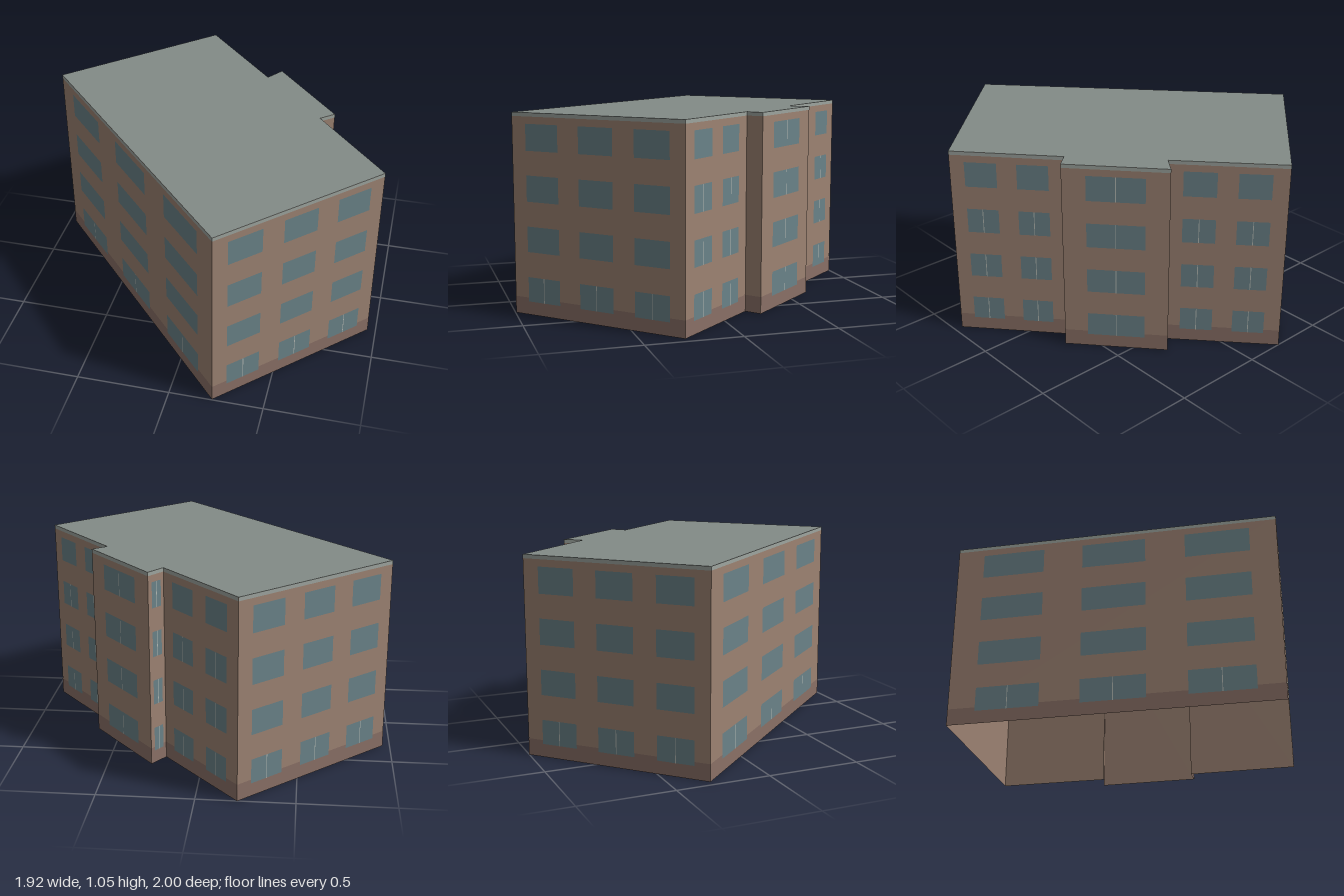
import * as THREE from 'three';

const HEIGHT = 1.055;
const TRIM = 0.02;
const BASE = 0.09;
const ROWS = [[0.07, 0.2], [0.333, 0.467], [0.597, 0.733], [0.86, 0.998]];

const paint = (color, side = THREE.FrontSide) => {
  const m = new THREE.MeshStandardMaterial({ color });
  m.side = side;
  return m;
};

export function createModel() {
  const model = new THREE.Group();
  model.name = 'apartmentBlock';

  const wallMat = paint(0x9c8272, THREE.DoubleSide);
  const roofMat = paint(0x838b87, THREE.DoubleSide);
  const baseMat = paint(0x8a7066);
  const trimMat = paint(0x9da49e);
  const glassMat = paint(0x6a8288);
  const mullionMat = paint(0xb4bab4);

  // Window columns as fractions of a wall's length
  const three = [[0.085, 0.28], [0.403, 0.6], [0.722, 0.918]];
  const two = [[0.13, 0.41], [0.585, 0.86]];

  // Walls by starting corner [x, z], with window columns and floors that show a mullion
  const walls = [
    { name: 'frontWall', at: [-0.96, -0.305], cols: three, split: [0] },
    { name: 'leftEndWall', at: [0.23, 0.995], cols: three, split: [0] },
    { name: 'backWallLeft', at: [0.955, 0.285], cols: two, split: [0, 1, 2] },
    { name: 'baySideLeft', at: [0.56, -0.165], cols: [], split: [] },
    { name: 'bayWall', at: [0.632, -0.225], cols: [[0.225, 0.775]], split: [0, 1, 2, 3] },
    { name: 'baySideRight', at: [0.268, -0.638], cols: [[0.22, 0.8]], split: [0, 1, 2, 3] },
    { name: 'backWallRight', at: [0.202, -0.547], cols: two, split: [0, 1, 2] },
    { name: 'rightEndWall', at: [-0.21, -1], cols: three, split: [0] },
  ];

  walls.forEach((w, i) => {
    const [x0, z0] = w.at;
    const [x1, z1] = walls[(i + 1) % walls.length].at;
    const length = Math.hypot(x1 - x0, z1 - z0);

    // Local x runs along the wall, local z points outward
    const wall = new THREE.Group();
    wall.name = w.name;
    wall.position.set(x0, 0, z0);
    wall.rotation.y = Math.atan2(z0 - z1, x1 - x0);
    model.add(wall);

    const panel = (name, mat, xa, xb, ya, yb, z) => {
      const mesh = new THREE.Mesh(new THREE.PlaneGeometry(xb - xa, yb - ya), mat);
      mesh.name = name;
      mesh.position.set((xa + xb) / 2, (ya + yb) / 2, z);
      wall.add(mesh);
    };

    panel('wallFace', wallMat, 0, length, 0, HEIGHT, 0);
    panel('baseBand', baseMat, 0, length, 0, BASE, 0.001);
    panel('roofTrim', trimMat, 0, length, HEIGHT - TRIM, HEIGHT, 0.001);

    ROWS.forEach(([ya, yb], floor) => {
      for (const [a, b] of w.cols) {
        panel('window', glassMat, a * length, b * length, ya, yb, 0.002);
        if (w.split.includes(floor)) {
          const mid = ((a + b) / 2) * length;
          panel('mullion', mullionMat, mid - 0.002, mid + 0.002, ya, yb, 0.003);
        }
      }
    });
  });

  // Flat roof over the footprint; the underside is open
  const outline = new THREE.Shape(walls.map(({ at: [x, z] }) => new THREE.Vector2(x, -z)));
  const roof = new THREE.Mesh(new THREE.ShapeGeometry(outline).rotateX(-Math.PI / 2), roofMat);
  roof.name = 'roof';
  roof.position.y = HEIGHT;
  model.add(roof);

  return model;
}
